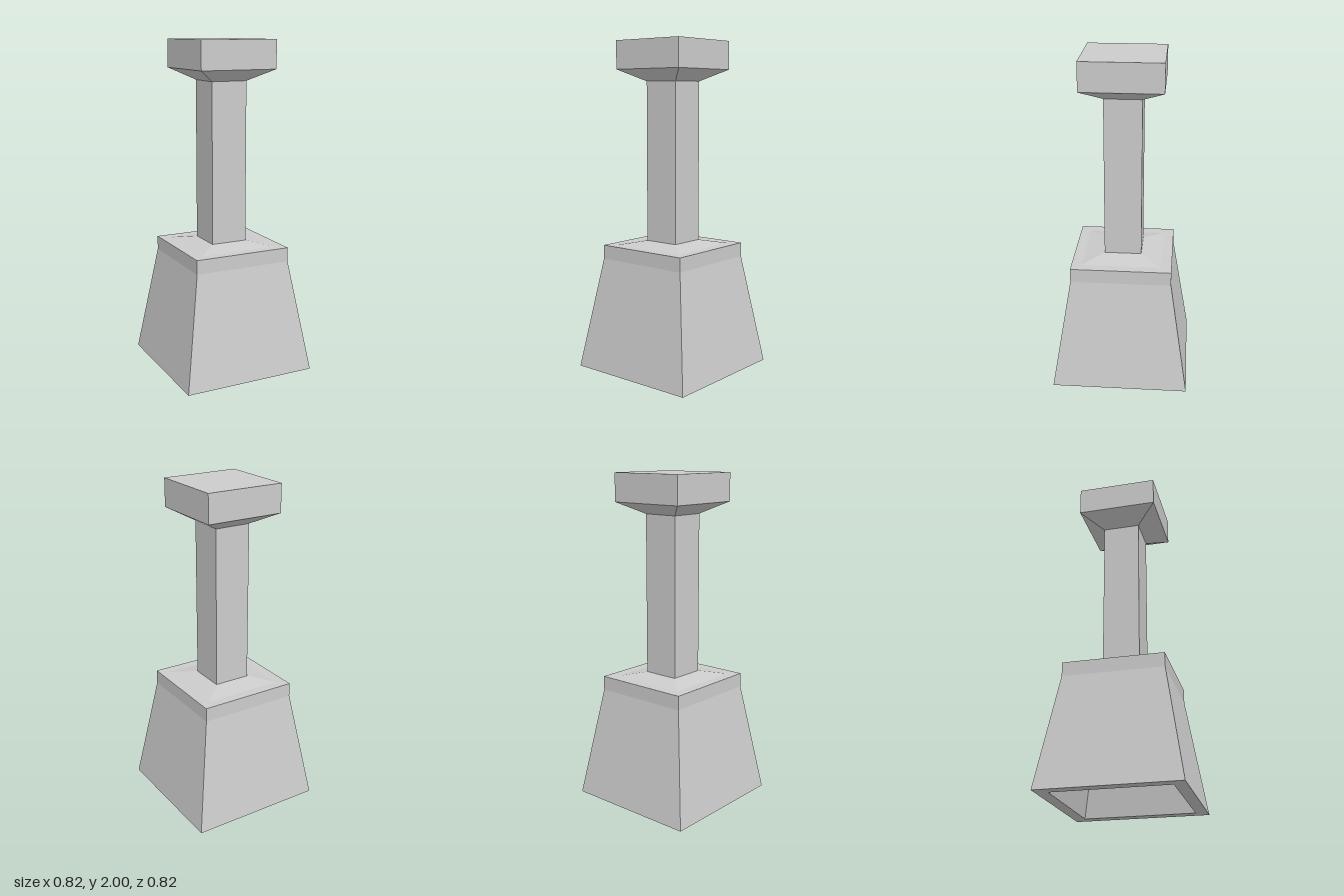
import * as THREE from 'three';

const material = new THREE.MeshStandardMaterial({ color: 0xcccccc, flatShading: true });

// Square solid from a profile of [half width, height] points, listed with the outside on the right
function squareTurned(name, profile) {
  const points = profile.map(([half, y]) => new THREE.Vector2(half * Math.SQRT2, y));
  const geometry = new THREE.LatheGeometry(points, 4, Math.PI / 4);
  const mesh = new THREE.Mesh(geometry, material);
  mesh.name = name;
  return mesh;
}

export function createModel() {
  const model = new THREE.Group();
  model.name = 'squareHandBell';

  // Hollow flared body: ceiling, inner wall, rim, outer wall, collar, sloped top
  model.add(squareTurned('body', [
    [0, 0.68], [0.235, 0.68], [0.34, 0],
    [0.412, 0], [0.302, 0.68], [0.302, 0.765],
    [0.24, 0.765], [0.11, 0.79],
  ]));

  // Shaft above the body, ending in a flared square knob
  model.add(squareTurned('handle', [
    [0.112, 0.78], [0.112, 1.76], [0.24, 1.83], [0.24, 2], [0, 2],
  ]));

  // Tapered post hanging inside the body
  model.add(squareTurned('innerPost', [
    [0, 0.11], [0.056, 0.11], [0.112, 0.24], [0.112, 0.68],
  ]));

  return model;
}
